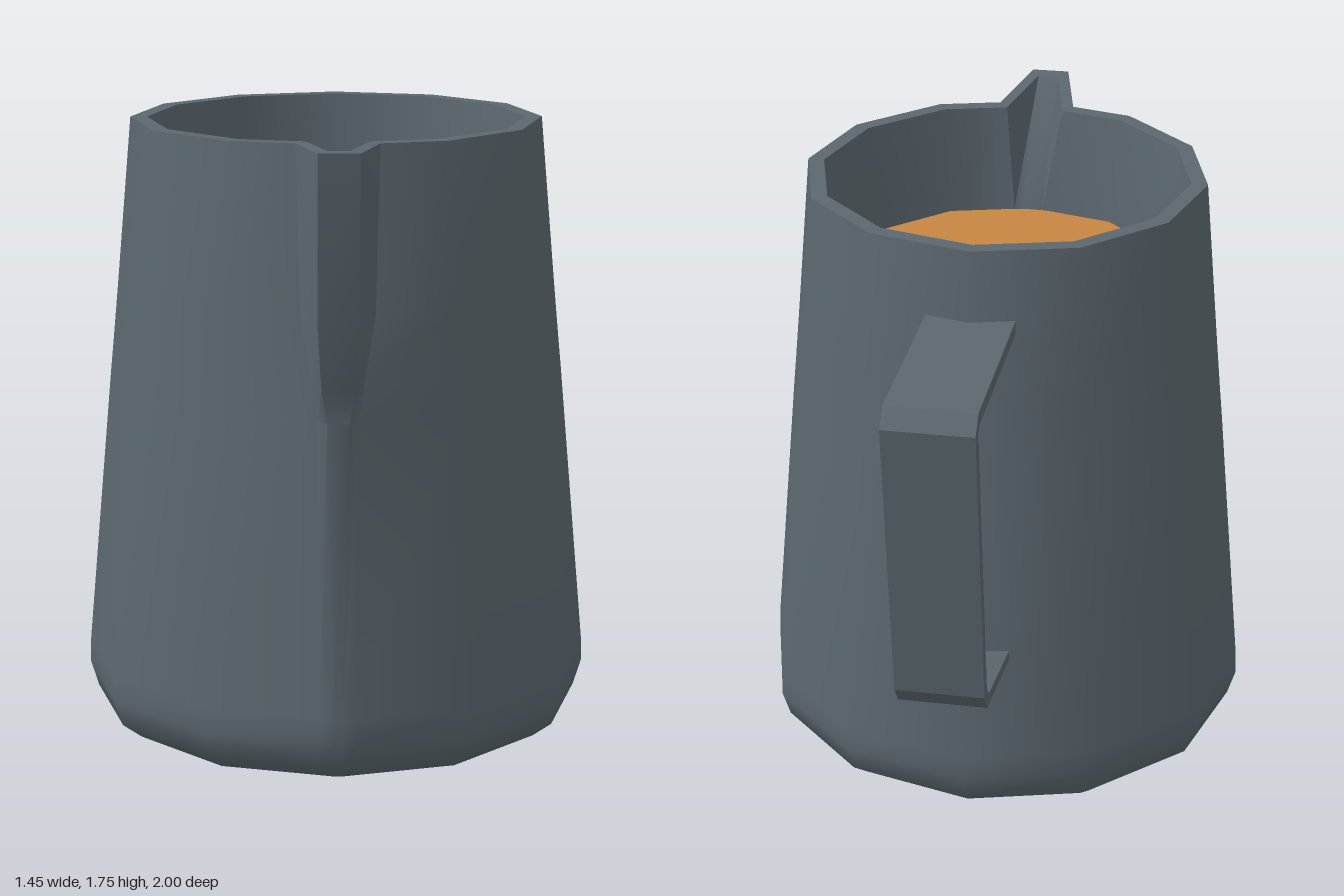
import * as THREE from 'three';
import { toCreasedNormals } from 'three/addons/utils/BufferGeometryUtils.js';

const SIDES = 12, CENTRE_Z = 0.175;

// Twelve-sided ring whose front corner is opened into a four-point spout
function ring({ r, y, root = 0.05, tip = 0.01, tipZ, tipY = y }) {
  const wallZ = (x) => CENTRE_Z + r - x * 0.268; // front facet of the ring
  const pts = [];
  for (let k = 1; k < SIDES; k++) {
    const a = (k / SIDES) * Math.PI * 2;
    pts.push([r * Math.sin(a), y, CENTRE_Z + r * Math.cos(a)]);
  }
  const z = tipZ ?? wallZ(tip);
  pts.push([-root, y, wallZ(root)], [-tip, tipY, z], [tip, tipY, z], [root, y, wallZ(root)]);
  return pts;
}

// Skin a list of rings
function loft(rings) {
  const n = rings[0].length, index = [];
  for (let i = 0; i < rings.length - 1; i++) {
    for (let j = 0; j < n; j++) {
      const a = i * n + j, b = i * n + ((j + 1) % n);
      index.push(a, b, b + n, a, b + n, a + n);
    }
  }
  const g = new THREE.BufferGeometry();
  g.setAttribute('position', new THREE.Float32BufferAttribute(rings.flat(2), 3));
  g.setIndex(index);
  return toCreasedNormals(g, 0.8);
}

function part(name, geometry, color) {
  const mesh = new THREE.Mesh(geometry, new THREE.MeshStandardMaterial({ color }));
  mesh.name = name;
  return mesh;
}

export function createModel() {
  const group = new THREE.Group();
  group.name = 'milkJug';
  const steel = 0x5b676e, coffee = 0xc68642;
  const centre = (y) => ring({ r: 0, y, root: 0, tip: 0 });

  // Jug: base, outer wall with spout, rim, inner wall
  const fill = { r: 0.49, y: 1.42, root: 0.055, tip: 0.03, tipZ: 0.655 };
  group.add(part('jug', loft([
    centre(0),
    ring({ r: 0.645, y: 0 }),
    ring({ r: 0.703, y: 0.045 }),
    ring({ r: 0.726, y: 0.12 }),
    ring({ r: 0.724, y: 0.19 }),
    ring({ r: 0.65, y: 1.0, root: 0.055, tip: 0.03, tipZ: 0.835 }),
    ring({ r: 0.64, y: 1.1, root: 0.07, tip: 0.045, tipZ: 0.87 }),
    ring({ r: 0.623, y: 1.28, root: 0.1, tip: 0.055, tipZ: 0.93 }),
    ring({ r: 0.582, y: 1.735, root: 0.112, tip: 0.055, tipZ: 1.0, tipY: 1.747 }),
    ring({ r: 0.535, y: 1.735, root: 0.085, tip: 0.03, tipZ: 0.95, tipY: 1.747 }),
    ring(fill),
    ring({ ...fill, y: 1.38 }),
  ]), steel));

  // Drink filling the jug
  group.add(part('drink', loft([ring(fill), centre(fill.y)]), coffee));

  // Bent strap handle: profile as (distance behind the origin, height)
  const profile = [
    [0.39, 1.533], [0.955, 1.533], [0.998, 1.485], [0.88, 0.627], [0.836, 0.568], [0.483, 0.504],
    [0.483, 0.536], [0.815, 0.6], [0.842, 0.638], [0.957, 1.475], [0.942, 1.493], [0.39, 1.493],
  ].map(([x, y]) => new THREE.Vector2(x, y));
  const strap = new THREE.ExtrudeGeometry(new THREE.Shape(profile), { depth: 0.25, bevelEnabled: false });
  strap.translate(0, 0, -0.125).rotateY(Math.PI / 2);
  group.add(part('handle', strap, steel));

  return group;
}
